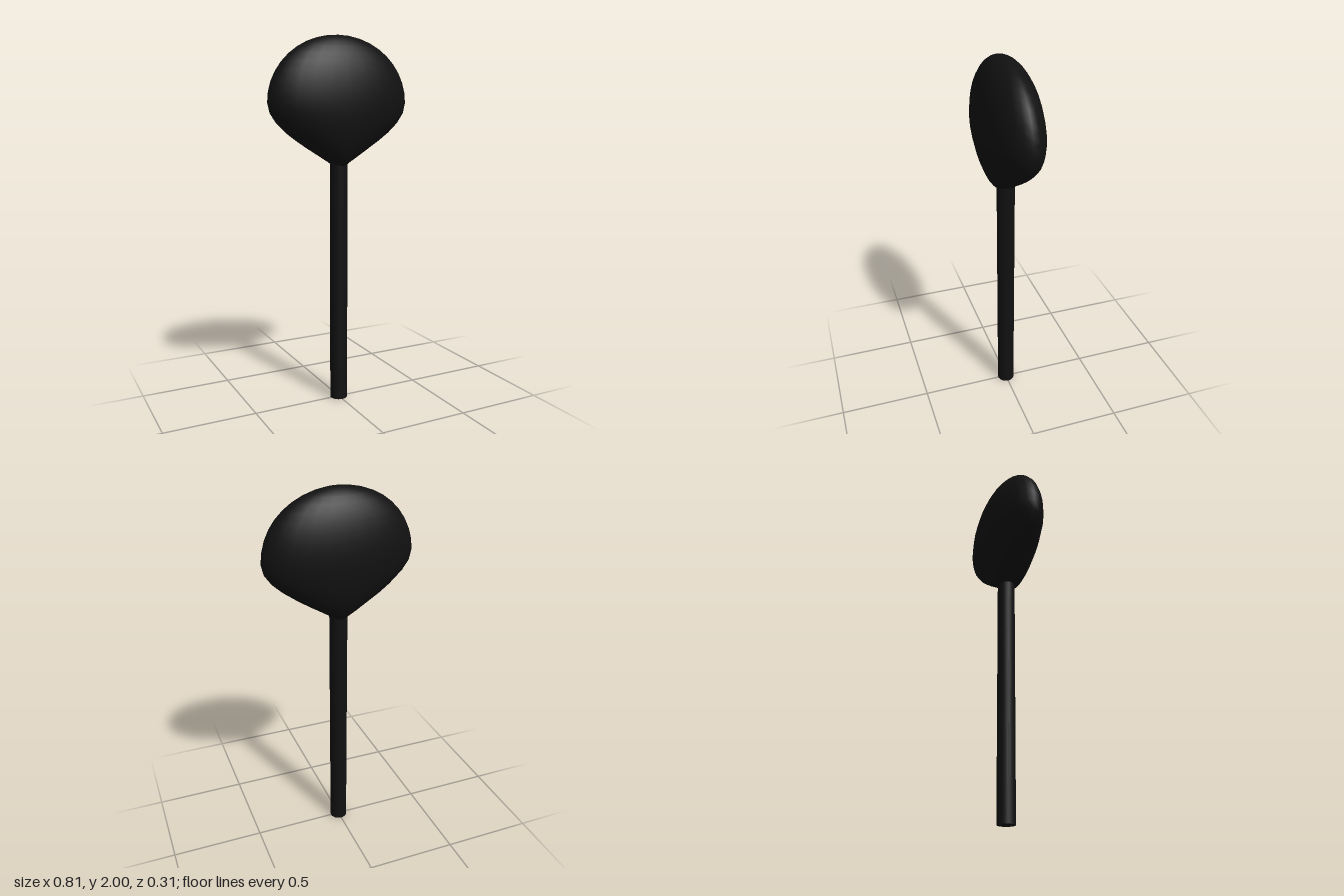
import * as THREE from 'three';
import { mergeVertices } from 'three/addons/utils/BufferGeometryUtils.js';

export function createModel() {
  const model = new THREE.Group();
  model.name = 'paddle';
  const black = new THREE.MeshStandardMaterial({ color: 0x111111 });

  const add = (name, geometry, y) => {
    const mesh = new THREE.Mesh(geometry, black);
    mesh.name = name;
    mesh.position.y = y;
    model.add(mesh);
  };

  // Straight round handle, running a little way into the head
  add('handle', new THREE.CylinderGeometry(0.048, 0.048, 1.36, 24), 0.68);

  // Flattened ellipsoid head, its lower half pinched sideways towards the handle
  let head = new THREE.SphereGeometry(1, 24, 20);
  const p = head.attributes.position;
  for (let i = 0; i < p.count; i++) {
    const drop = Math.max(0, -p.getY(i));
    const pinch = 1 - 0.84 * drop * drop;
    p.setXYZ(i, p.getX(i) * 0.403 * pinch, p.getY(i) * 0.35, p.getZ(i) * 0.153);
  }
  // Weld the seam so the shading stays smooth all round
  head.deleteAttribute('uv');
  head.deleteAttribute('normal');
  head = mergeVertices(head, 1e-5);
  head.computeVertexNormals();
  add('head', head, 1.65);

  return model;
}
